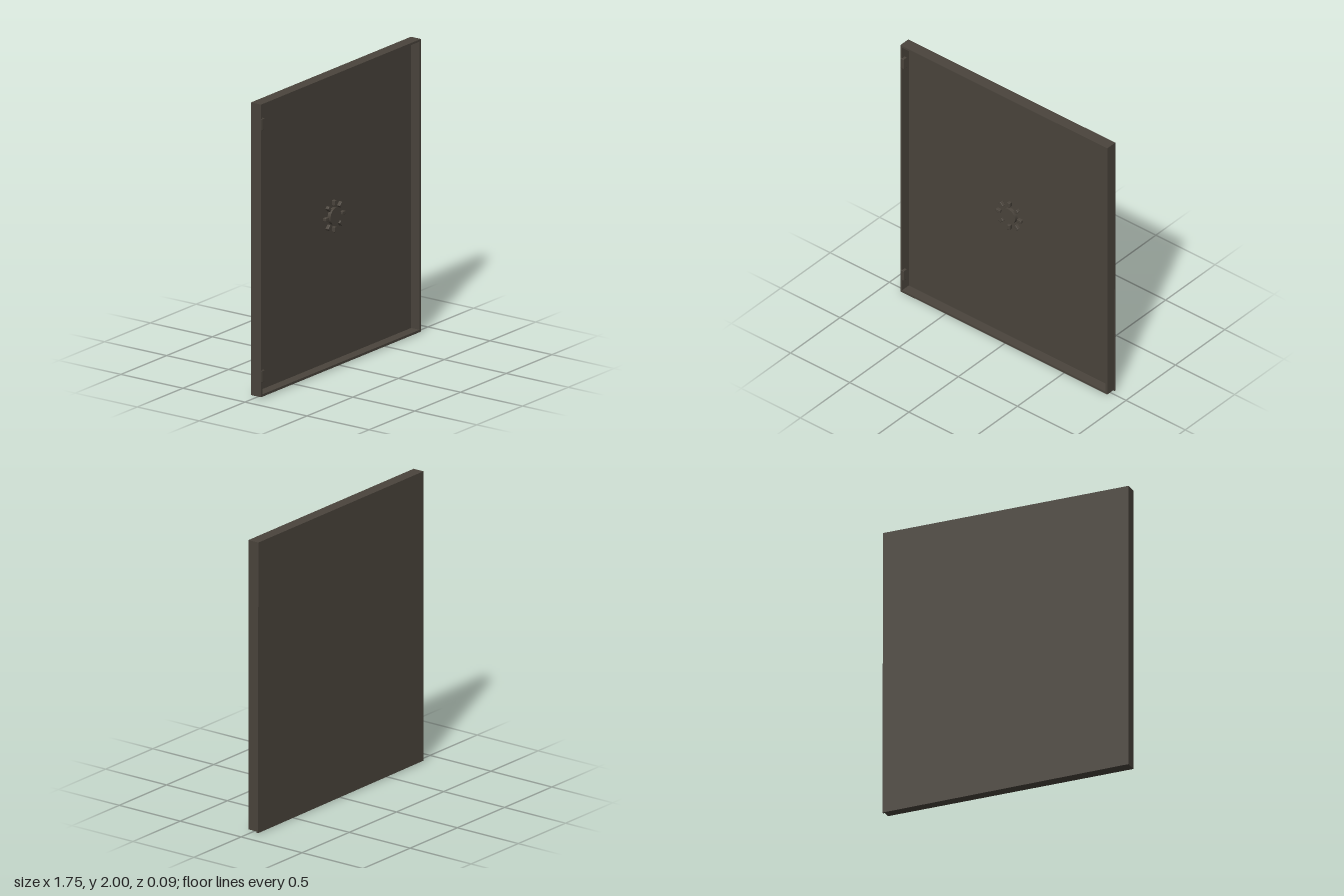
import * as THREE from 'three';
import { RoundedBoxGeometry } from 'three/addons/geometries/RoundedBoxGeometry.js';

const BACK = -0.043, FLOOR = -0.03, FRONT = 0.038;

export function createModel() {
  const group = new THREE.Group();
  const brown = new THREE.MeshStandardMaterial({ color: 0x4a443c });
  brown.name = 'darkBrown';

  const add = (name, geometry, x, y, z) => {
    const mesh = new THREE.Mesh(geometry, brown);
    mesh.name = name;
    mesh.position.set(x, y, z);
    group.add(mesh);
    return mesh;
  };
  const polygon = (points) => new THREE.Shape(points.map(([x, y]) => new THREE.Vector2(x, y)));

  // Back panel, very slightly out of square with the frame
  const panel = polygon([[-0.876, 0.008], [0.877, 0], [0.873, 2], [-0.876, 2]]);
  add('backPanel', new THREE.ExtrudeGeometry(panel, { depth: FLOOR - BACK, bevelEnabled: false }), 0, 0, BACK);

  // Thin rim around the open front
  const rim = polygon([[-0.876, 0.008], [0.873, 0.008], [0.873, 2], [-0.876, 2]]);
  rim.holes.push(polygon([[-0.86, 0.024], [-0.86, 1.986], [0.858, 1.986], [0.858, 0.024]]));
  add('rim', new THREE.ExtrudeGeometry(rim, { depth: FRONT - FLOOR, bevelEnabled: false }), 0, 0, FLOOR);

  // Hinge tabs on the inside of one wall
  for (const [name, y] of [['upperHingeTab', 1.862], ['lowerHingeTab', 0.148]]) {
    add(name, new RoundedBoxGeometry(0.03, 0.08, 0.034, 2, 0.004), -0.858, y, 0.027);
  }

  // Central round boss with eight short rays
  const height = 0.025, centreY = 1.008;
  const boss = add('centreBoss', new THREE.CylinderGeometry(0.057, 0.057, height, 32), 0, centreY, FLOOR + height / 2);
  boss.rotation.x = Math.PI / 2;
  for (let i = 0; i < 8; i++) {
    const a = (i / 8) * Math.PI * 2;
    const ray = add('ray', new RoundedBoxGeometry(0.036, 0.023, height, 2, 0.004),
      Math.cos(a) * 0.09, centreY + Math.sin(a) * 0.09, FLOOR + height / 2);
    ray.rotation.z = a;
  }
  return group;
}
